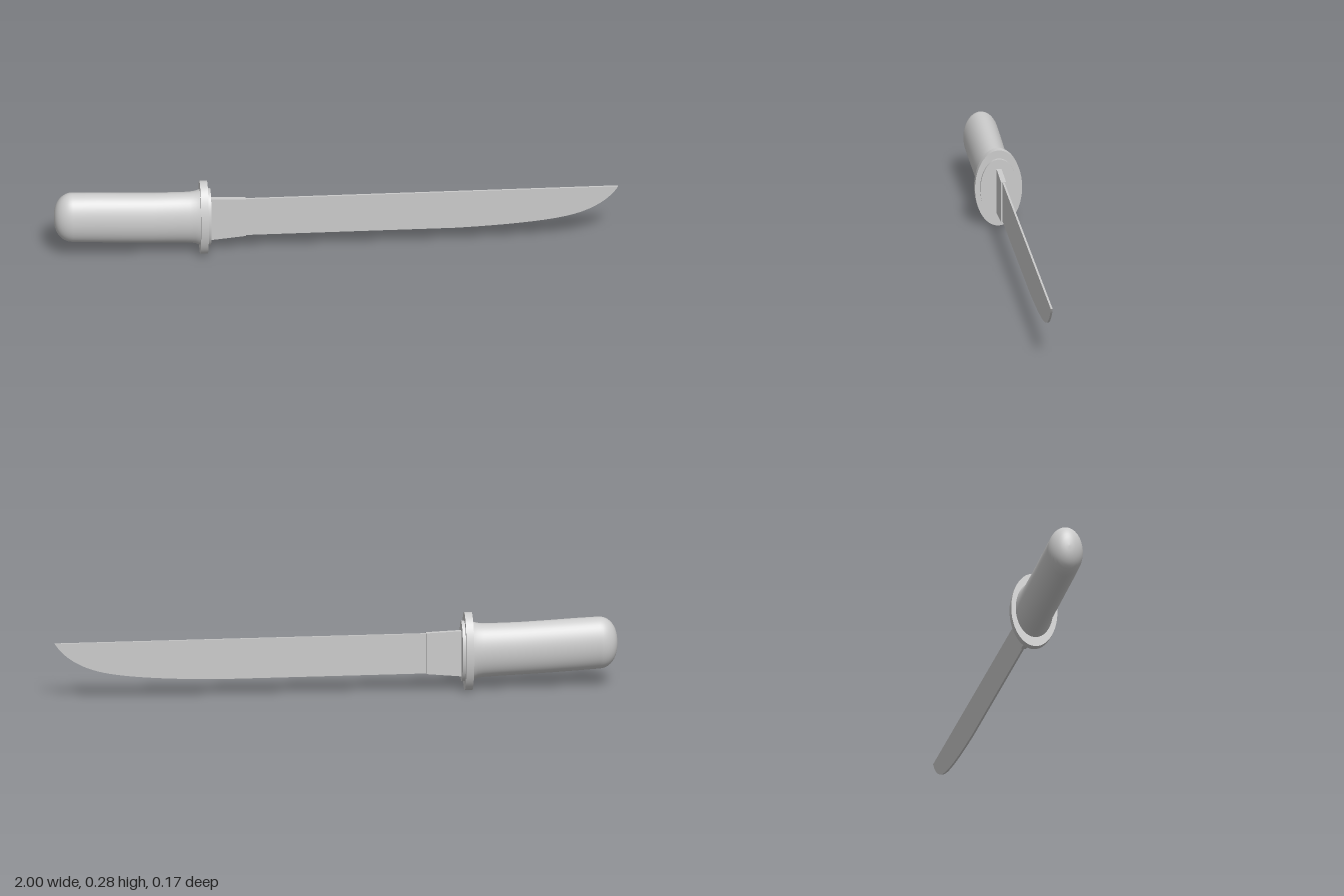
import * as THREE from 'three';

const material = new THREE.MeshStandardMaterial({ color: 0xcccccc });
const SIDES = 48;

function addPart(group, name, geometry) {
  const mesh = new THREE.Mesh(geometry, material);
  mesh.name = name;
  group.add(mesh);
  return mesh;
}

// Smooth skin through elliptical rings [x, centreY, radiusY, radiusZ], listed along +x
function loftEllipses(rings) {
  const positions = [], index = [];
  for (const [x, cy, ry, rz] of rings) {
    for (let i = 0; i < SIDES; i++) {
      const a = (i / SIDES) * Math.PI * 2;
      positions.push(x, cy + Math.cos(a) * ry, Math.sin(a) * rz);
    }
  }
  for (let r = 0; r < rings.length - 1; r++) {
    for (let i = 0; i < SIDES; i++) {
      const a = r * SIDES + i, b = r * SIDES + ((i + 1) % SIDES);
      index.push(a, b, a + SIDES, b, b + SIDES, a + SIDES);
    }
  }
  const geometry = new THREE.BufferGeometry();
  geometry.setAttribute('position', new THREE.Float32BufferAttribute(positions, 3));
  geometry.setIndex(index);
  geometry.computeVertexNormals();
  return geometry;
}

// Oval plate spanning x0..x1
function ovalPlate(x0, x1, cy, ry, rz) {
  const geometry = new THREE.CylinderGeometry(1, 1, 1, 64);
  geometry.rotateZ(-Math.PI / 2);
  geometry.scale(x1 - x0, ry, rz);
  geometry.translate((x0 + x1) / 2, cy, 0);
  return geometry;
}

// Flat side outline given thickness centred on z = 0
function slab(shape, thickness) {
  const geometry = new THREE.ExtrudeGeometry(shape, { depth: thickness, bevelEnabled: false, curveSegments: 24 });
  geometry.translate(0, 0, -thickness / 2);
  return geometry;
}

export function createModel() {
  const knife = new THREE.Group();
  knife.name = 'knife';

  // Handle: rounded pommel, slightly drooping grip, flare at the guard
  const rings = [];
  for (let i = 0; i <= 10; i++) {
    const a = (i / 10) * Math.PI / 2;
    const s = Math.max(Math.pow(Math.sin(a), 0.85), 0.001);
    rings.push([-0.935 - 0.065 * Math.cos(a), 0.159, 0.094 * s, 0.063 * s]);
  }
  rings.push(
    [-0.85, 0.155, 0.095, 0.063],
    [-0.75, 0.15, 0.095, 0.062],
    [-0.65, 0.146, 0.095, 0.062],
    [-0.56, 0.144, 0.096, 0.062],
    [-0.52, 0.143, 0.097, 0.063],
    [-0.5, 0.143, 0.1, 0.065],
    [-0.488, 0.142, 0.105, 0.067],
    [-0.475, 0.142, 0.11, 0.069]
  );
  addPart(knife, 'handle', loftEllipses(rings));

  // Oval guard with a smaller raised plate on the blade side
  addPart(knife, 'guard', ovalPlate(-0.483, -0.456, 0.141, 0.141, 0.084));
  addPart(knife, 'guardPlate', ovalPlate(-0.46, -0.445, 0.142, 0.11, 0.066));

  // Tapered sleeve at the root of the blade
  const sleeve = new THREE.Shape();
  sleeve.moveTo(-0.455, 0.05);
  sleeve.lineTo(-0.32, 0.063);
  sleeve.lineTo(-0.32, 0.212);
  sleeve.lineTo(-0.455, 0.217);
  addPart(knife, 'bladeSleeve', slab(sleeve, 0.018));

  // Thin blade: straight spine, edge sweeping up to the point
  const blade = new THREE.Shape();
  blade.moveTo(-0.4, 0.064);
  blade.lineTo(0.42, 0.064);
  blade.bezierCurveTo(0.6, 0.069, 0.74, 0.08, 0.82, 0.098);
  blade.bezierCurveTo(0.91, 0.118, 0.97, 0.16, 1, 0.21);
  blade.lineTo(-0.4, 0.21);
  addPart(knife, 'blade', slab(blade, 0.007));

  return knife;
}
